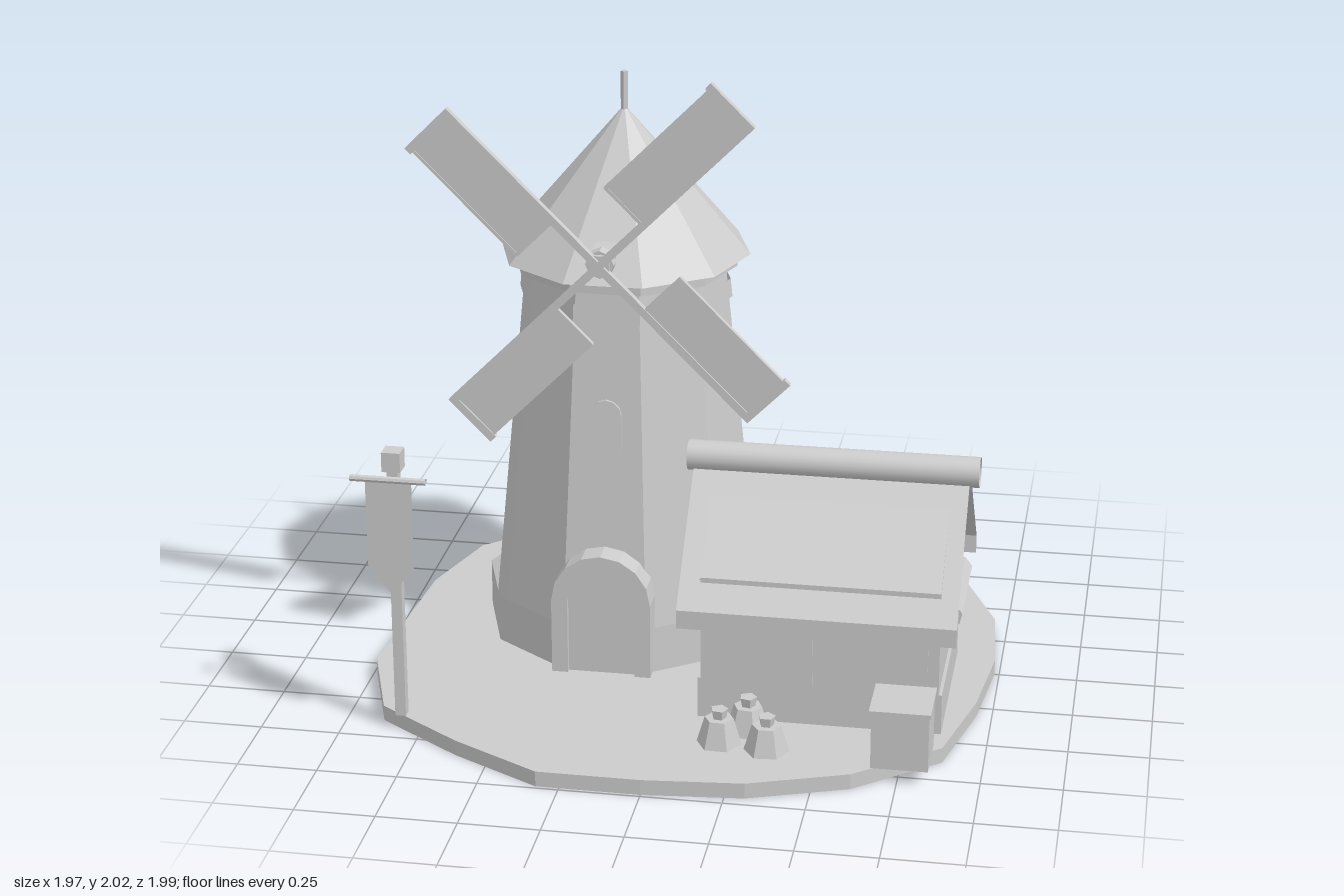
import * as THREE from 'three';

const stone = new THREE.MeshStandardMaterial({ color: 0xcccccc, flatShading: true, side: THREE.DoubleSide });
stone.name = 'plain grey';
const smooth = new THREE.MeshStandardMaterial({ color: 0xcccccc, side: THREE.DoubleSide });
smooth.name = 'plain grey smooth';

function add(parent, name, geometry, x = 0, y = 0, z = 0, material = stone) {
  const mesh = new THREE.Mesh(geometry, material);
  mesh.name = name;
  mesh.position.set(x, y, z);
  parent.add(mesh);
  return mesh;
}

function group(parent, name, x = 0, y = 0, z = 0) {
  const g = new THREE.Group();
  g.name = name;
  g.position.set(x, y, z);
  parent.add(g);
  return g;
}

// Box given by its lower and upper corners
function block(parent, name, [x0, y0, z0], [x1, y1, z1]) {
  return add(parent, name, new THREE.BoxGeometry(x1 - x0, y1 - y0, z1 - z0),
    (x0 + x1) / 2, (y0 + y1) / 2, (z0 + z1) / 2);
}

function polygon(points) {
  return new THREE.Shape(points.map(([x, y]) => new THREE.Vector2(x, y)));
}

const extrude = (shape, depth) => new THREE.ExtrudeGeometry(shape, { depth, bevelEnabled: false });

// Round-headed outline standing on y = 0
function archPoints(half, height, steps = 8) {
  const points = [[-half, 0], [half, 0]];
  for (let i = 0; i <= steps; i++) {
    const a = (i / steps) * Math.PI;
    points.push([half * Math.cos(a), height - half + half * Math.sin(a)]);
  }
  return points;
}

// Ten-sided ring or frustum with a flat side to the front
function tenSided(parent, name, rTop, rBottom, y0, y1, open) {
  const g = new THREE.CylinderGeometry(rTop, rBottom, y1 - y0, 10, 1, open);
  g.rotateY(Math.PI / 10);
  return add(parent, name, g, 0, (y0 + y1) / 2, 0);
}

function buildGround(model) {
  const radii = [0.985, 1.01, 1.035, 1.06, 1.03, 1, 1.03, 1.04, 1.06, 1.0,
    0.97, 1.04, 1.09, 1.03, 1.04, 0.99, 1.01, 1.05, 1.08, 1.0];
  const outline = radii.map((r, i) => {
    const a = (i / radii.length) * Math.PI * 2;
    return [Math.min(0.985, r * Math.cos(a)), r * Math.sin(a)];
  });
  add(model, 'ground', extrude(polygon(outline), 0.05).rotateX(-Math.PI / 2));
}

function buildTower(model) {
  const tower = group(model, 'tower', -0.252, 0, -0.165);
  tenSided(tower, 'towerPlinth', 0.465, 0.465, 0.05, 0.205, true);
  tenSided(tower, 'towerWall', 0.325, 0.45, 0.05, 1.3, true);
  tenSided(tower, 'wallBand', 0.341, 0.347, 1.19, 1.25, true);
  tenSided(tower, 'eavesRing', 0.363, 0.363, 1.295, 1.34, true);
  tenSided(tower, 'towerRoof', 0, 0.405, 1.335, 1.81, false);
  add(tower, 'finial', new THREE.CylinderGeometry(0.012, 0.012, 0.13, 6), 0, 1.855, 0);

  // Doorway: arch surround with a recessed door
  const surround = polygon(archPoints(0.16, 0.41));
  surround.holes.push(new THREE.Path(polygon(archPoints(0.108, 0.36)).getPoints()));
  add(tower, 'doorSurround', extrude(surround, 0.13), 0, 0.05, 0.345);
  add(tower, 'door', extrude(polygon(archPoints(0.108, 0.36)), 0.09), 0, 0.05, 0.368);

  const window = add(tower, 'window', extrude(polygon(archPoints(0.05, 0.165, 6)), 0.012), 0, 0.78, 0.358);
  window.rotation.x = -0.095;
}

function buildSails(model) {
  const sails = group(model, 'sails', -0.253, 1.418, 0.272);
  add(sails, 'shaft', new THREE.BoxGeometry(0.065, 0.065, 0.28), 0, 0, -0.14);
  add(sails, 'hub', new THREE.CylinderGeometry(0.045, 0.045, 0.045, 8).rotateX(Math.PI / 2), 0, 0, -0.035);
  for (let i = 0; i < 4; i++) {
    const arm = group(sails, 'sailArm');
    arm.rotation.z = Math.PI / 4 + (i * Math.PI) / 2;
    block(arm, 'spar', [0, -0.012, -0.012], [0.66, 0.012, 0.012]);
    block(arm, 'cloth', [0.195, 0, -0.006], [0.65, 0.163, 0.006]);
    block(arm, 'endBar', [0.645, -0.012, -0.012], [0.67, 0.175, 0.012]);
    block(arm, 'outerRail', [0.195, 0.157, -0.009], [0.65, 0.167, 0.009]);
    block(arm, 'innerRail', [0.193, 0, -0.009], [0.203, 0.165, 0.009]);
  }
}

function buildHouse(model) {
  const house = group(model, 'house');
  block(house, 'foundation', [0.1, 0.05, -0.035], [0.86, 0.182, 0.545]);
  const gable = polygon([[-0.55, 0.18], [0.015, 0.18], [0.015, 0.525], [-0.26, 0.8], [-0.55, 0.525]]);
  add(house, 'houseWalls', extrude(gable, 0.74).rotateY(Math.PI / 2), 0.11, 0, 0);
  for (const x of [0.14, 0.495]) block(house, 'wallPanel', [x, 0.185, 0.545], [x + 0.32, 0.4, 0.556]);

  // Roof sheets with a hanging fascia on each side
  for (const side of [1, -1]) {
    const rise = 0.37, run = 0.36;
    const sheet = new THREE.PlaneGeometry(0.86, Math.hypot(rise, run));
    sheet.rotateX(-Math.atan2(run, rise));
    if (side < 0) sheet.rotateY(Math.PI);
    add(house, 'roofSlope', sheet, 0.475, 0.625, 0.257 + (side * run) / 2);
    const fascia = new THREE.PlaneGeometry(0.86, 0.06);
    if (side < 0) fascia.rotateY(Math.PI);
    add(house, 'roofFascia', fascia, 0.475, 0.41, 0.257 + side * run);
  }
  for (const x of [0.125, 0.475, 0.825]) {
    const peg = add(house, 'roofPeg', new THREE.BoxGeometry(0.04, 0.015, 0.009), x, 0.521, 0.541);
    peg.rotation.x = -0.77;
  }
  const ridge = new THREE.CylinderGeometry(0.048, 0.048, 0.91, 20, 1, true).rotateZ(Math.PI / 2);
  add(house, 'ridgeCap', ridge, 0.48, 0.81, 0.257, smooth);
}

function buildYard(model) {
  block(model, 'crate', [0.67, 0.05, 0.62], [0.845, 0.235, 0.8]);
  block(model, 'crateLid', [0.663, 0.23, 0.615], [0.85, 0.243, 0.805]);

  // Tied sacks
  for (const [x, z, turn] of [[0.195, 0.71, 0.5], [0.345, 0.735, 0.6], [0.27, 0.615, 0.4]]) {
    const sack = group(model, 'sack', x, 0.05, z);
    sack.rotation.y = turn;
    add(sack, 'sackBody', new THREE.CylinderGeometry(0.045, 0.07, 0.085, 6), 0, 0.0425, 0);
    add(sack, 'sackNeck', new THREE.CylinderGeometry(0.028, 0.022, 0.03, 5), 0, 0.1, 0);
  }

  // Log pile: three below, two above
  const r = 0.045;
  for (let row = 0; row < 2; row++) {
    for (let i = 0; i < 3 - row; i++) {
      const log = new THREE.CylinderGeometry(r, r, 0.39, 7).rotateX(Math.PI / 2);
      add(model, 'log', log, 0.635 + r * (2 * i + row), 0.05 + r * (1 + 1.73 * row), -0.415);
    }
  }

  // Banner post
  const post = group(model, 'bannerPost', -0.813, 0, 0.68);
  block(post, 'pole', [-0.017, 0.05, -0.017], [0.017, 0.88, 0.017]);
  block(post, 'poleCap', [-0.029, 0.875, -0.029], [0.029, 0.938, 0.029]);
  const bar = new THREE.CylinderGeometry(0.011, 0.011, 0.235, 8, 1, true).rotateZ(Math.PI / 2);
  add(post, 'crossbar', bar, 0, 0.866, 0.065);
  const cloth = polygon([[-0.072, 0.86], [-0.072, 0.58], [0, 0.487], [0.072, 0.58], [0.072, 0.86]]);
  add(post, 'banner', new THREE.ShapeGeometry(cloth), 0, 0, 0.065);
}

export function createModel() {
  const model = new THREE.Group();
  model.name = 'windmillYard';
  buildGround(model);
  buildTower(model);
  buildSails(model);
  buildHouse(model);
  buildYard(model);
  return model;
}
